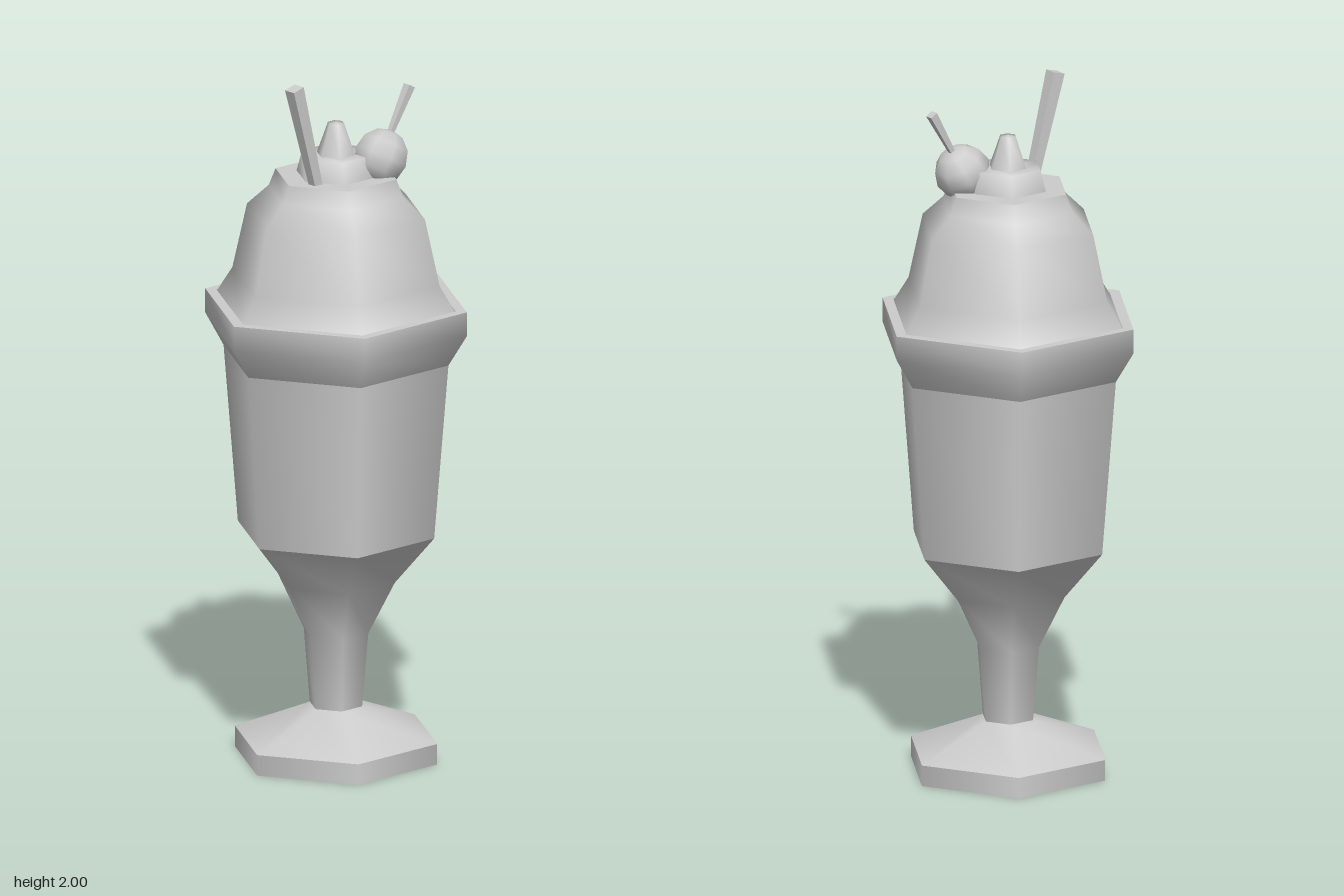
import * as THREE from 'three';

const material = new THREE.MeshStandardMaterial({ color: 0xcccccc, side: THREE.DoubleSide });
const flatMaterial = new THREE.MeshStandardMaterial({ color: 0xcccccc, flatShading: true });

// Six-sided turned part from [radius, height] pairs, listed bottom to top
function hexTurned(name, points) {
  const profile = points.map(([r, y]) => new THREE.Vector2(r, y));
  const mesh = new THREE.Mesh(new THREE.LatheGeometry(profile, 6), material);
  mesh.name = name;
  return mesh;
}

// Square tapered stick running between two points; half-widths at each end
function squareStick(name, from, to, halfFrom, halfTo) {
  const a = new THREE.Vector3(...from);
  const b = new THREE.Vector3(...to);
  const dir = b.clone().sub(a);
  const geometry = new THREE.CylinderGeometry(
    halfTo * Math.SQRT2, halfFrom * Math.SQRT2, dir.length(), 4);
  geometry.rotateY(Math.PI / 4);
  const mesh = new THREE.Mesh(geometry, flatMaterial);
  mesh.name = name;
  mesh.position.copy(a).add(b).multiplyScalar(0.5);
  mesh.quaternion.setFromUnitVectors(new THREE.Vector3(0, 1, 0), dir.normalize());
  return mesh;
}

export function createModel() {
  const model = new THREE.Group();
  model.name = 'sundae';

  // Glass, split where its edges are crisp
  const glass = new THREE.Group();
  glass.name = 'glass';
  glass.add(
    hexTurned('footUnderside', [[0, 0], [0.298, 0]]),
    hexTurned('footEdge', [[0.298, 0], [0.298, 0.06]]),
    hexTurned('footTop', [[0.298, 0.06], [0.077, 0.15]]),
    hexTurned('stem', [[0.077, 0.15], [0.095, 0.365], [0.173, 0.52], [0.289, 0.66]]),
    hexTurned('cup', [[0.289, 0.66], [0.331, 1.17]]),
    hexTurned('rimFlare', [[0.331, 1.17], [0.385, 1.26], [0.385, 1.33]]),
    hexTurned('rimTop', [[0.385, 1.33], [0.352, 1.33]])
  );
  model.add(glass);

  // Whipped cream in three stepped swirls
  const cream = new THREE.Group();
  cream.name = 'cream';
  cream.add(
    hexTurned('creamMound', [[0.352, 1.325], [0.305, 1.4], [0.262, 1.59], [0.198, 1.65], [0.178, 1.7]]),
    hexTurned('creamMoundTop', [[0.178, 1.7], [0.1, 1.7]]),
    hexTurned('creamMiddle', [[0.116, 1.7], [0.1, 1.76], [0.05, 1.76]]),
    hexTurned('creamPeak', [[0.056, 1.76], [0.024, 1.85], [0, 1.852]])
  );
  model.add(cream);

  // Cherry leaning back, with its stalk
  const cherry = new THREE.Mesh(
    new THREE.SphereGeometry(0.081, 8, 6).rotateY(Math.PI / 8), material);
  cherry.name = 'cherry';
  cherry.position.set(0.071, 1.745, -0.105);
  cherry.rotation.x = -0.52;
  model.add(cherry);
  model.add(squareStick('cherryStalk', [0.071, 1.78, -0.125], [0.071, 1.932, -0.213], 0.006, 0.012));

  // Straw leaning forward
  model.add(squareStick('straw', [0.037, 1.66, 0.1], [0.037, 1.995, 0.191], 0.013, 0.019));

  return model;
}
